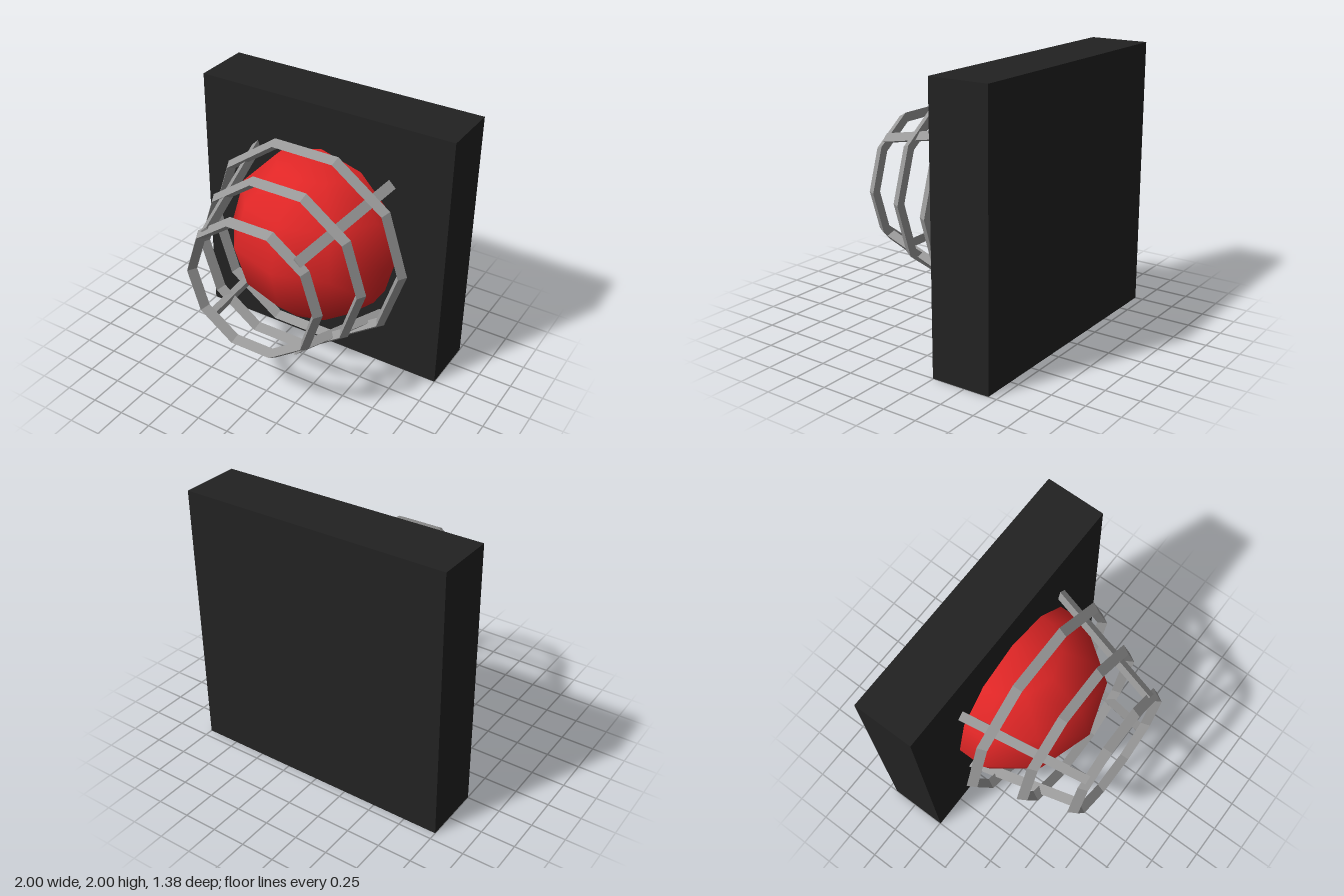
import * as THREE from 'three';

const black = new THREE.MeshStandardMaterial({ color: 0x222222 });
black.name = 'black housing';
const red = new THREE.MeshStandardMaterial({ color: 0xe02626 });
red.name = 'red lens';
const grey = new THREE.MeshStandardMaterial({ color: 0x999999, flatShading: true });
grey.name = 'grey metal';

function addMesh(parent, name, geometry, material) {
  const mesh = new THREE.Mesh(geometry, material);
  mesh.name = name;
  parent.add(mesh);
  return mesh;
}

// Ten-sided hoop with a triangular section pointing forward
function hoopGeometry(radius) {
  const half = 0.037, depth = 0.065;
  const profile = [[half, 0], [0, depth], [-half, 0], [half, 0]]
    .map(([r, y]) => new THREE.Vector2(radius + r, y));
  return new THREE.LatheGeometry(profile, 10, Math.PI / 2).rotateX(Math.PI / 2);
}

// Three-sided bar between two points, one flat face turned outward
function barGeometry(from, to) {
  const along = to.clone().sub(from);
  const length = along.length();
  along.normalize();
  const inward = new THREE.Vector3(-1, -1, 0);
  inward.addScaledVector(along, -inward.dot(along)).normalize();
  const side = new THREE.Vector3().crossVectors(along, inward);
  const middle = from.clone().add(to).multiplyScalar(0.5);
  const matrix = new THREE.Matrix4().makeBasis(side, along, inward).setPosition(middle);
  return new THREE.CylinderGeometry(0.043, 0.043, length, 3).applyMatrix4(matrix);
}

export function createModel() {
  const model = new THREE.Group();
  model.name = 'caged wall lamp';

  // Square wall housing
  addMesh(model, 'housing', new THREE.BoxGeometry(2, 2, 0.443), black).position.set(0, 1, -0.4665);

  // Faceted dome, its open back buried in the housing
  const dome = new THREE.SphereGeometry(0.67, 6, 6, -Math.PI / 10, Math.PI * 1.2);
  addMesh(model, 'lens', dome, red).position.set(0, 1, -0.25);

  // Protective cage
  const cage = new THREE.Group();
  cage.name = 'cage';
  cage.position.y = 1;
  model.add(cage);

  [[0.51, 0.625], [0.645, 0.29], [0.777, -0.045]].forEach(([radius, z], i) => {
    addMesh(cage, `hoop${i + 1}`, hoopGeometry(radius), grey).position.z = z;
  });

  const bar = barGeometry(new THREE.Vector3(0.57, 0.57, -0.35), new THREE.Vector3(0.357, 0.357, 0.65));
  for (let i = 0; i < 4; i++) {
    addMesh(cage, `bar${i + 1}`, bar, grey).rotation.z = i * Math.PI / 2;
  }
  return model;
}
